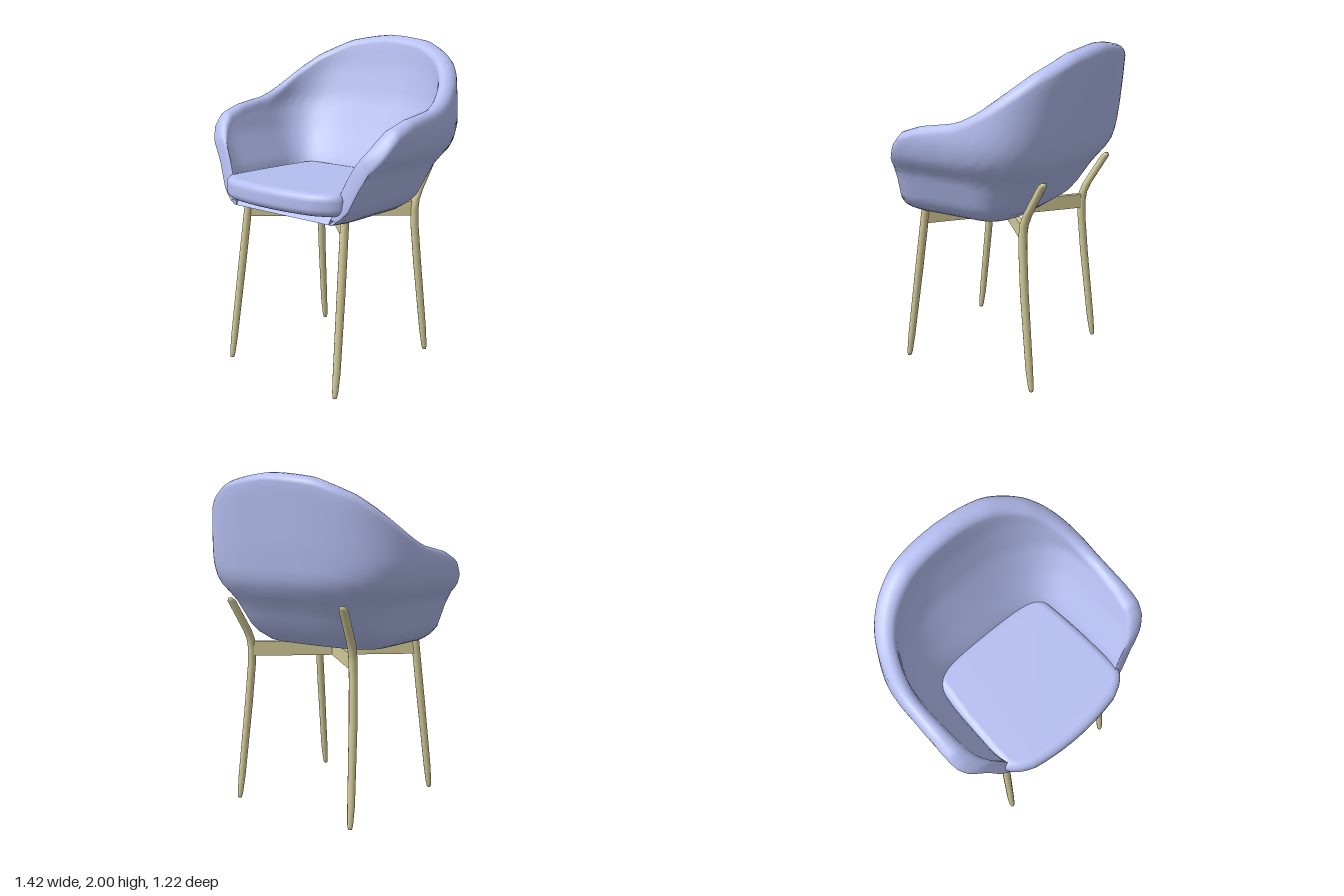
import * as THREE from 'three';
import { mergeVertices } from 'three/addons/utils/BufferGeometryUtils.js';

const fabric = new THREE.MeshStandardMaterial({ color: 0xb4bef0, side: THREE.DoubleSide });
const wood = new THREE.MeshStandardMaterial({ color: 0xd2c996 });

// Piecewise linear lookup in [[key, value], ...]
function lookup(table, k) {
  let i = 1;
  while (i < table.length - 1 && k > table[i][0]) i++;
  const [k0, v0] = table[i - 1], [k1, v1] = table[i];
  return THREE.MathUtils.mapLinear(THREE.MathUtils.clamp(k, k0, k1), k0, k1, v0, v1);
}

// Smooth skin over rows of points
function skin(rows) {
  const n = rows[0].length, index = [];
  for (let i = 0; i < rows.length - 1; i++) {
    for (let j = 0; j < n - 1; j++) {
      const a = i * n + j, b = a + n;
      index.push(a, a + 1, b, b, a + 1, b + 1);
    }
  }
  let g = new THREE.BufferGeometry();
  g.setAttribute('position', new THREE.Float32BufferAttribute(rows.flat(2), 3));
  g.setIndex(index);
  g = mergeVertices(g, 1e-4);
  g.computeVertexNormals();
  return g;
}

function add(group, name, geometry, material) {
  const mesh = new THREE.Mesh(geometry, material);
  mesh.name = name;
  group.add(mesh);
  return mesh;
}

// Half-width and back depth of the shell by height, outside and inside
const OUTER = {
  width: [[1, 0.42], [1.03, 0.47], [1.08, 0.52], [1.28, 0.6], [1.36, 0.67], [1.42, 0.695], [1.5, 0.71], [1.6, 0.7], [1.77, 0.675], [2, 0.62]],
  back: [[1, -0.2], [1.03, -0.25], [1.07, -0.3], [1.25, -0.42], [1.33, -0.49], [1.4, -0.53], [1.6, -0.565], [1.96, -0.615]],
};
const INNER = {
  width: [[1, 0.4], [1.05, 0.42], [1.2, 0.46], [1.4, 0.56], [1.55, 0.615], [1.75, 0.6], [2, 0.54]],
  back: [[1, -0.16], [1.05, -0.19], [1.18, -0.23], [1.4, -0.33], [1.6, -0.41], [1.8, -0.46], [2, -0.49]],
};
// Rim height from arm front (0) to middle of the back (1)
const RIM = [[0, 1.03], [0.02, 1.18], [0.05, 1.37], [0.1, 1.47], [0.15, 1.53], [0.25, 1.57], [0.4, 1.6],
  [0.467, 1.66], [0.567, 1.755], [0.7, 1.87], [0.867, 1.965], [1, 2]];
const ARM = 0.4;

// Point on a wall: straight arm, then a squarish curve round the back
function wallPoint(wall, s, y, sign) {
  let w = lookup(wall.width, y), z;
  if (s < ARM) {
    z = 0.49 * (1 - s / ARM);
    w *= 1 - 0.08 * Math.max(0, 1 - s / 0.14) ** 2;
  } else {
    const a = ((s - ARM) / (1 - ARM)) * Math.PI / 2;
    w *= Math.max(0, Math.cos(a)) ** (2 / 3);
    z = lookup(wall.back, y) * Math.sin(a) ** (2 / 3);
  }
  return [sign * w, y, z];
}

// Cross-section: underside, outer wall, rounded rim, inner wall, floor
function shellSection(s, sign) {
  const H = lookup(RIM, s), r = Math.min(0.05, (H - 1) * 0.4), top = H - r;
  const floor = 1 + 0.05 * Math.min(1, s / 0.05) * Math.min(1, (top - 1) / 0.06);
  const row = [], steps = 16;
  const foot = wallPoint(OUTER, s, 1, sign);
  row.push([0, 1, foot[2]], [foot[0] / 2, 1, foot[2]]);
  for (let k = 0; k <= steps; k++) row.push(wallPoint(OUTER, s, 1 + (top - 1) * k / steps, sign));
  const o = wallPoint(OUTER, s, top, sign), n = wallPoint(INNER, s, top, sign);
  for (let k = 1; k < 8; k++) {
    const a = Math.PI * k / 8, f = (1 - Math.cos(a)) / 2;
    row.push([o[0] + (n[0] - o[0]) * f, top + r * Math.sin(a), o[2] + (n[2] - o[2]) * f]);
  }
  for (let k = 0; k <= steps; k++) row.push(wallPoint(INNER, s, top + (floor - top) * k / steps, sign));
  const end = row[row.length - 1];
  row.push([0, floor, end[2]]);
  return row;
}

function shell() {
  const rows = [], N = 52;
  for (let i = -N; i <= N; i++) rows.push(shellSection((1 - Math.abs(i) / N) ** 1.3, i < 0 ? -1 : 1));
  return skin(rows);
}

// Cushion with a bowed front and rounded edges
function cushion() {
  const b = 0.045;
  const shape = new THREE.Shape();
  shape.moveTo(-0.34, 0.185);
  shape.quadraticCurveTo(0, 0.195, 0.34, 0.185);
  shape.quadraticCurveTo(0.37, 0.18, 0.38, 0.14);
  shape.quadraticCurveTo(0.415, -0.15, 0.41, -0.46);
  shape.quadraticCurveTo(0.39, -0.5, 0.3, -0.535);
  shape.quadraticCurveTo(0, -0.595, -0.3, -0.535);
  shape.quadraticCurveTo(-0.39, -0.5, -0.41, -0.46);
  shape.quadraticCurveTo(-0.415, -0.15, -0.38, 0.14);
  shape.quadraticCurveTo(-0.37, 0.18, -0.34, 0.185);
  let g = new THREE.ExtrudeGeometry(shape, { depth: 0.04, bevelThickness: b, bevelSize: b, bevelSegments: 5, curveSegments: 10 });
  g.rotateX(-Math.PI / 2);
  g.translate(0, 1.05 + b, 0);
  g.deleteAttribute('uv');
  g.deleteAttribute('normal');
  g = mergeVertices(g, 1e-4);
  g.computeVertexNormals();
  return g;
}

// Leg through stations [x, y, z, radius], closed at both ends
function leg(stations, side) {
  const rows = stations.map(([x, y, z, r]) => Array.from({ length: 13 }, (_, j) => {
    const a = (j % 12) * Math.PI / 6;
    return [side * x + r * Math.cos(a), y, z - r * Math.sin(a)];
  }));
  return skin(rows);
}

const FRONT_LEG = [[0.43, 0, 0.51, 0], [0.43, 0.003, 0.51, 0.012], [0.429, 0.03, 0.506, 0.017], [0.426, 0.14, 0.49, 0.022],
  [0.405, 0.6, 0.427, 0.025], [0.386, 1.0, 0.374, 0.025], [0.385, 1.02, 0.372, 0]];
const BACK_LEG = [[0.43, 0, -0.385, 0], [0.43, 0.003, -0.385, 0.012], [0.429, 0.03, -0.382, 0.017], [0.425, 0.14, -0.368, 0.022],
  [0.402, 0.6, -0.32, 0.025], [0.388, 0.85, -0.301, 0.025], [0.385, 0.95, -0.3, 0.025], [0.387, 1.01, -0.307, 0.026],
  [0.392, 1.07, -0.33, 0.027], [0.418, 1.26, -0.437, 0.026], [0.42, 1.28, -0.447, 0.012], [0.42, 1.281, -0.447, 0]];

export function createModel() {
  const chair = new THREE.Group();
  chair.name = 'armchair';
  add(chair, 'shell', shell(), fabric);
  add(chair, 'seatCushion', cushion(), fabric);

  for (const side of [1, -1]) {
    const label = side > 0 ? 'Left' : 'Right';
    add(chair, 'front' + label + 'Leg', leg(FRONT_LEG, side), wood);
    add(chair, 'back' + label + 'Leg', leg(BACK_LEG, side), wood);

    // Diagonal rail from a front leg to the opposite back leg
    const dx = 0.76 * side, dz = 0.675;
    const rail = add(chair, 'diagonalRail' + label, new THREE.BoxGeometry(Math.hypot(dx, dz), 0.09, 0.03), wood);
    rail.position.set(0, 0.955, 0.035);
    rail.rotation.y = -Math.atan2(dz, dx);
  }
  return chair;
}
